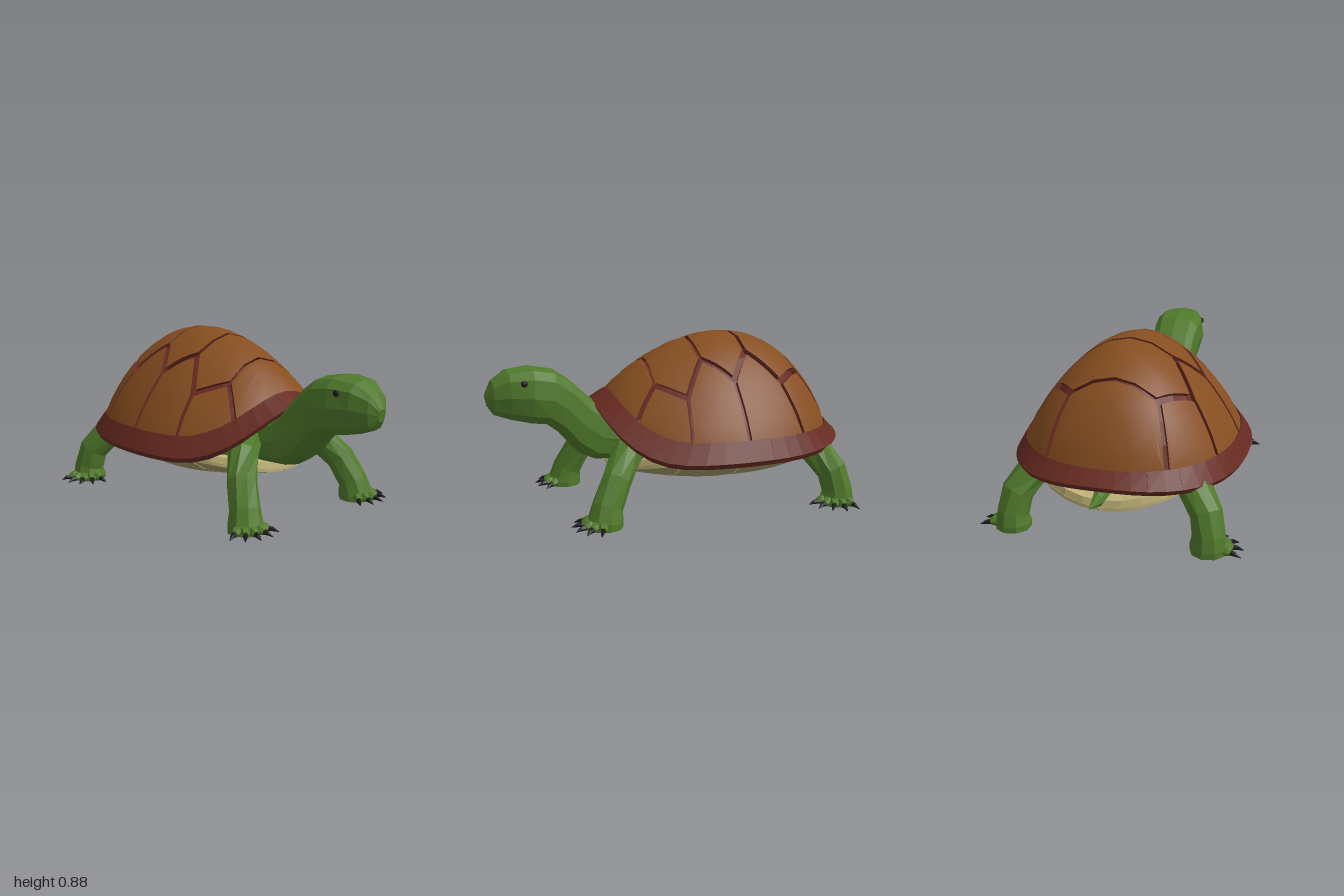
import * as THREE from 'three';
import { toCreasedNormals } from 'three/addons/utils/BufferGeometryUtils.js';

const paint = (name, color) => {
  const m = new THREE.MeshStandardMaterial({ color });
  m.name = name;
  return m;
};
const green = paint('skin green', 0x50792b);
const brown = paint('scute brown', 0x864e20);
const maroon = paint('rim maroon', 0x672a21);
const cream = paint('belly cream', 0xbdb077);
const khaki = paint('belly plate khaki', 0xa89d69);
const black = paint('claw black', 0x1c1b1e);

const V = (x, y, z) => new THREE.Vector3(x, y, z);

// Faceted closed solid through rings of points; the first `split` bands form group 0, the rest group 1.
function loft(rings, split = rings.length) {
  const n = rings[0].length, tris = [];
  const cap = (ring, flip) => {
    const c = ring.reduce((s, p) => s.add(p), V(0, 0, 0)).divideScalar(n);
    ring.forEach((p, i) => {
      const q = ring[(i + 1) % n];
      tris.push(flip ? [c, q, p] : [c, p, q]);
    });
  };
  cap(rings[0], true);
  for (let k = 0; k + 1 < rings.length; k++)
    for (let i = 0; i < n; i++) {
      const j = (i + 1) % n, a = rings[k], b = rings[k + 1];
      tris.push([a[i], a[j], b[j]], [a[i], b[j], b[i]]);
    }
  cap(rings[rings.length - 1], false);
  // turn the faces outward
  const volume = tris.reduce((s, [a, b, c]) => s + a.dot(b.clone().cross(c)), 0);
  const pts = tris.flatMap(([a, b, c]) => (volume < 0 ? [a, c, b] : [a, b, c]));
  const g = new THREE.BufferGeometry().setFromPoints(pts);
  g.computeVertexNormals();
  const first = Math.min(pts.length, 3 * n + 6 * n * split);
  g.addGroup(0, first, 0);
  if (first < pts.length) g.addGroup(first, pts.length - first, 1);
  return g;
}

// Round limb along a path of [x, y, z, radius]
function limb(path, ref = V(0, 0, 1), sides = 9) {
  const p = path.map(([x, y, z]) => V(x, y, z));
  return loft(p.map((c, i) => {
    const t = p[Math.min(i + 1, p.length - 1)].clone().sub(p[Math.max(i - 1, 0)]).normalize();
    const a = ref.clone().cross(t).normalize(), b = t.clone().cross(a);
    return Array.from({ length: sides }, (_, j) => {
      const w = (j / sides) * Math.PI * 2, r = path[i][3];
      return c.clone().addScaledVector(a, r * Math.cos(w)).addScaledVector(b, r * Math.sin(w));
    });
  }));
}

// Shell outline: a slightly squared oval, raised at the front
const bulge = (u, v) => {
  const r = Math.hypot(u, v) || 1;
  return (Math.abs(u / r) ** 2.3 + Math.abs(v / r) ** 2.3) ** (-1 / 2.3);
};
const lift = (s) => Math.max(0, (s - 0.4) / 0.6) ** 3;
const baseY = (s) => 0.39 + 0.21 * lift(s);

// Unit disc to dome, fuller at the back; depth 1 is the floor of the grooves
function dome(u, v, depth = 0) {
  const r = Math.hypot(u, v), s = r > 1e-6 ? v / r : 0, f = bulge(u, v);
  const y0 = baseY(s), k = 1 - 0.042 * depth, back = Math.max(0, -s) ** 2;
  const h = Math.max(0, 1 - r ** (1.8 + 0.6 * back)) ** (0.9 - 0.15 * back);
  const y = y0 + (0.88 - y0) * h;
  return V(u * f * 0.53 * k, 0.35 + (y - 0.35) * k, -0.23 + v * f * 0.6 * k);
}
// Unit disc to belly bowl, dipping at both ends
function belly(u, v, depth = 0) {
  const r = Math.min(1, Math.hypot(u, v)), f = bulge(u, v);
  return V(u * f * 0.475, 0.125 + 0.15 * r ** 3 - 0.08 * v ** 4 + 0.014 * depth, -0.235 + v * f * 0.605);
}
const toDisc = ([x, z]) => {
  const a = x / 0.53, b = (z + 0.23) / 0.6, f = bulge(a, b);
  return [a / f, b / f];
};

// Raised plate over a polygon of the disc; corners near the border follow the outline
function plate(poly, surface, shrink) {
  const pts = poly.map(([u, v]) => {
    const r = Math.hypot(u, v), rim = r > 0.93;
    return { u: rim ? u / r : u, v: rim ? v / r : v, rim };
  });
  const cu = pts.reduce((s, p) => s + p.u, 0) / pts.length;
  const cv = pts.reduce((s, p) => s + p.v, 0) / pts.length;
  const edge = [];
  pts.forEach((p, i) => {
    const q = pts[(i + 1) % pts.length];
    for (let k = 0; k < 4; k++) {
      const t = k / 4;
      let u = cu + (p.u + (q.u - p.u) * t - cu) * shrink;
      let v = cv + (p.v + (q.v - p.v) * t - cv) * shrink;
      if (p.rim && (q.rim || k === 0)) {
        const r = Math.hypot(u, v);
        u /= r; v /= r;
      }
      edge.push([u, v]);
    }
  });
  const ring = (k, d) => edge.map(([u, v]) => surface(cu + (u - cu) * k, cv + (v - cv) * k, d));
  return toCreasedNormals(loft([ring(0.04, 0), ring(0.36, 0), ring(0.68, 0), ring(0.88, 0), ring(1, 0),
    ring(1, 1.2)], 4), 0.6);
}

// Horizontal ring of points around the disc
const discRing = (fn, n = 32) => Array.from({ length: n }, (_, i) => {
  const w = (i / n) * Math.PI * 2;
  return fn(Math.cos(w), Math.sin(w));
});

export function createModel() {
  const model = new THREE.Group();
  const add = (name, geometry, material, parent = model) => {
    const m = new THREE.Mesh(geometry, material);
    m.name = name;
    parent.add(m);
    return m;
  };

  // Dome under the scutes
  add('shellBase', loft([0.04, 0.25, 0.45, 0.65, 0.83, 0.93, 1].map((s) =>
    discRing((c, t) => dome(c * s, t * s, 1)))), maroon);

  // Five scutes along the spine, four on each flank
  const inner = [[0.32, -0.8], [0.22, -0.62], [0.22, -0.315], [0.22, -0.065], [0.22, 0.19], [0.3, 0.33]];
  const mid = [null, [0.35, -0.46], [0.35, -0.195], [0.35, 0.06], null];
  const rim = [[0.32, -0.8], [0.5, -0.54], [0.53, -0.2], [0.5, 0.1], [0.3, 0.33]];
  const flip = ([x, z]) => [-x, z];
  for (let i = 0; i < 5; i++) {
    const half = [inner[i], mid[i], inner[i + 1]].filter(Boolean);
    const poly = [...half, ...half.map(flip).reverse()];
    add('spineScute', plate(poly.map(toDisc), dome, 0.93), [brown, maroon]);
  }
  for (let i = 0; i < 4; i++) {
    const poly = [mid[i], inner[i + 1], mid[i + 1], rim[i + 1], rim[i]].filter(Boolean);
    for (const side of [poly, poly.map(flip)])
      add('flankScute', plate(side.map(toDisc), dome, 0.92), [brown, maroon]);
  }

  // Rim plates
  const N = 24;
  for (let i = 0; i < N; i++) {
    const rings = [0, 0.5, 1].map((t) => {
      const w = ((i - 0.5 + 0.003 + t * 0.994) / N) * Math.PI * 2 + Math.PI / 2;
      const c = Math.cos(w), s = Math.sin(w), f = bulge(c, s);
      const out = 0.293 + 0.25 * lift(s) + 0.035 * Math.max(0, -s) ** 4;
      const at = (a, b, z, y) => V(c * f * a, y, z + s * f * b);
      return [at(0.532, 0.603, -0.23, baseY(s) + 0.01), at(0.587, 0.685, -0.215, out + 0.012),
        at(0.572, 0.67, -0.215, out - 0.014), at(0.49, 0.565, -0.23, baseY(s) - 0.05)];
    });
    add('rimPlate', loft(rings), maroon);
  }

  // Body between shell and belly
  const bodyRing = (s, y) => discRing((c, t) => {
    const p = dome(c * s, t * s);
    return V(p.x, y(t), p.z);
  });
  add('body', loft([bodyRing(0.95, (t) => baseY(t) - 0.025),
    bodyRing(0.88, (t) => 0.31 + 0.13 * lift(t)), bodyRing(0.8, () => 0.235)]), green);

  // Belly shield with two columns of plates
  const bellyRing = (s, up) => discRing((c, t) => belly(c * s, t * s).add(V(0, up, 0)));
  add('bellyShield', loft([bellyRing(0.05, 0.012), bellyRing(0.4, 0.012), bellyRing(0.7, 0.012),
    bellyRing(1, 0.008), bellyRing(0.985, 0.052)]), cream);
  const rows = [1, 0.55, 0.07, -0.45, -1];
  for (let i = 0; i < 4; i++)
    for (const m of [1, -1]) {
      const a = rows[i], b = rows[i + 1];
      const rimU = (v) => m * Math.sqrt(1 - v * v);
      const poly = [[0, a], [rimU(a), a], [rimU((a + b) / 2), (a + b) / 2], [rimU(b), b], [0, b]]
        .filter(([u], k) => Math.abs(u) > 1e-6 || k === 0 || k === 4);
      add('bellyPlate', plate(poly, belly, 0.965), [khaki, cream]);
    }

  // Head and neck sections: top z, y, bottom z, y, half width, jaw inset
  const sections = [
    [1.0, 0.62, 0.99, 0.56, 0.024, 0.9], [0.965, 0.688, 0.96, 0.515, 0.066, 0.88],
    [0.89, 0.738, 0.88, 0.485, 0.112, 0.88], [0.77, 0.752, 0.79, 0.462, 0.144, 0.9],
    [0.66, 0.73, 0.7, 0.45, 0.138, 0.97], [0.575, 0.67, 0.635, 0.4, 0.13, 1],
    [0.48, 0.58, 0.56, 0.31, 0.125, 1], [0.38, 0.5, 0.47, 0.25, 0.13, 1], [0.2, 0.46, 0.2, 0.24, 0.17, 1],
  ];
  const round = (x) => Math.sign(x) * Math.abs(x) ** 0.65;
  add('headAndNeck', loft(sections.map(([tz, ty, bz, by, w, jaw]) =>
    Array.from({ length: 12 }, (_, j) => {
      const a = (j / 12) * Math.PI * 2, up = round(Math.cos(a)), k = (up + 1) / 2;
      return V(round(Math.sin(a)) * w * (up < -0.1 ? jaw : 1), by + (ty - by) * k, bz + (tz - bz) * k);
    }))), green);

  // Tail
  add('tail', limb([[0, 0.32, -0.72, 0.05], [0, 0.285, -0.8, 0.04], [0, 0.27, -0.88, 0.03],
    [0, 0.285, -1.0, 0.003]], V(1, 0, 0), 7), green);

  // Paired parts
  const legs = {
    front: { turn: 0.25, path: [[0.15, 0.36, 0.25, 0.08], [0.27, 0.32, 0.36, 0.078], [0.345, 0.22, 0.435, 0.075],
      [0.38, 0.1, 0.495, 0.078], [0.39, 0.03, 0.51, 0.09], [0.39, 0, 0.51, 0.088]] },
    rear: { turn: 0.9, path: [[0.25, 0.35, -0.52, 0.09], [0.39, 0.29, -0.64, 0.085], [0.465, 0.18, -0.71, 0.08],
      [0.485, 0.08, -0.735, 0.08], [0.485, 0.03, -0.735, 0.09], [0.485, 0, -0.735, 0.088]] },
  };
  for (const m of [1, -1]) {
    const side = m > 0 ? 'left' : 'right';
    const eye = add(side + 'Eye', new THREE.IcosahedronGeometry(0.017, 1), black);
    eye.position.set(m * 0.123, 0.682, 0.825);
    eye.scale.x = 0.6;

    for (const [end, { turn, path }] of Object.entries(legs)) {
      const leg = new THREE.Group();
      leg.name = `${side}${end === 'front' ? 'Front' : 'Rear'}Leg`;
      model.add(leg);
      add('limb', limb(path.map(([x, y, z, r]) => [m * x, y, z, r])), green, leg);
      // Five toes with claws
      const [fx, , fz] = path[path.length - 1];
      for (let i = -2; i <= 2; i++) {
        const a = turn + i * 0.46, dx = m * Math.sin(a), dz = Math.cos(a);
        const at = (r, y, w) => [m * fx + dx * r, y, fz + dz * r, w];
        add('toe', limb([at(0.06, 0.03, 0.028), at(0.095, 0.026, 0.024), at(0.113, 0.022, 0.017)],
          V(0, 1, 0), 6), green, leg);
        add('claw', limb([at(0.106, 0.022, 0.015), at(0.135, 0.019, 0.011), at(0.165, 0.008, 0.001)],
          V(0, 1, 0), 5), black, leg);
      }
    }
  }
  return model;
}
